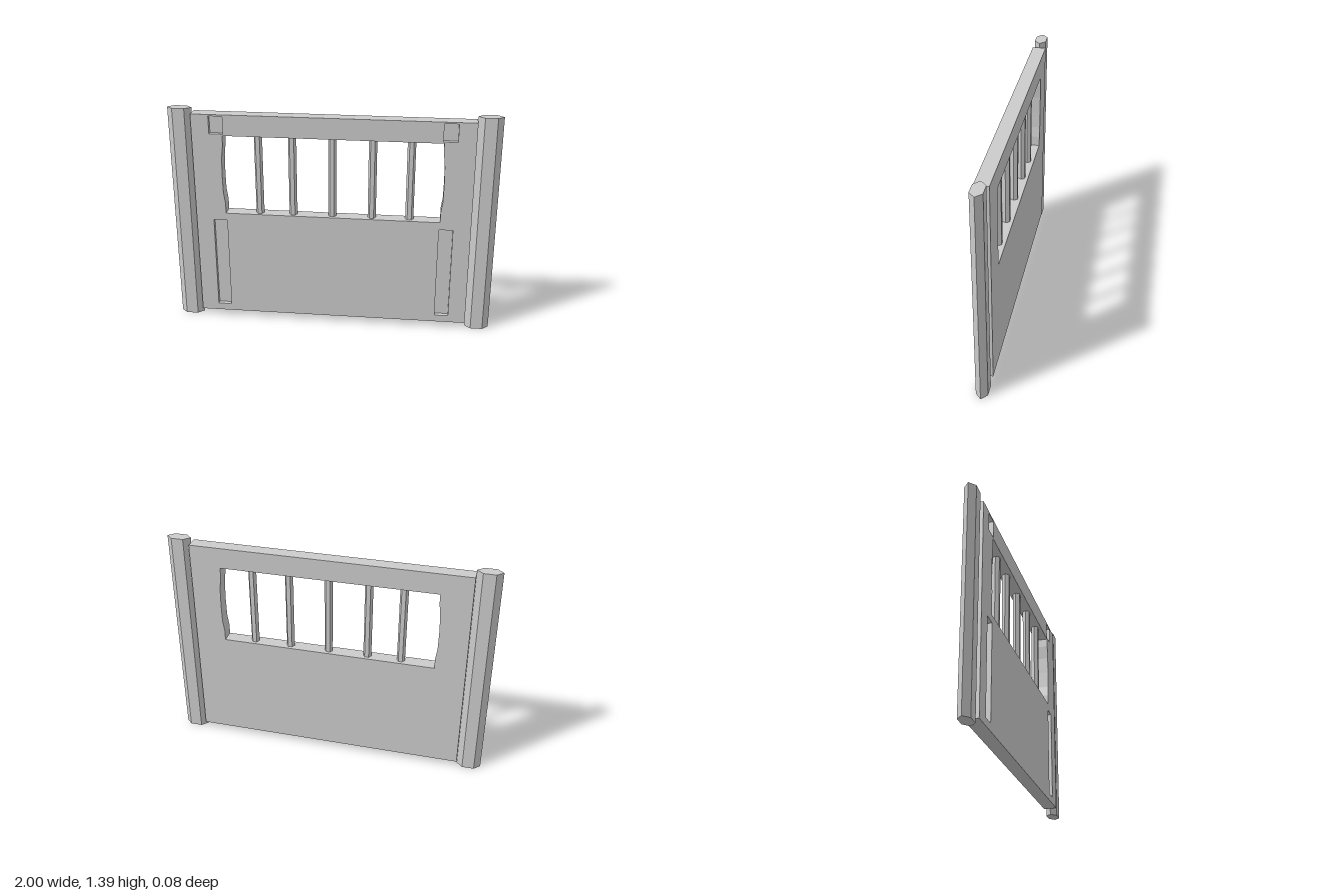
import * as THREE from 'three';

const material = new THREE.MeshStandardMaterial({ color: 0xcccccc, flatShading: true });

const rect = (x0, x1, y0, y1) =>
  [[x0, y0], [x1, y0], [x1, y1], [x0, y1]].map(([x, y]) => new THREE.Vector2(x, y));

function addMesh(parent, name, geometry) {
  const mesh = new THREE.Mesh(geometry, material);
  mesh.name = name;
  parent.add(mesh);
  return mesh;
}

// Window opening with slightly hollowed sides
function windowOutline() {
  const side = [[0.662, 0.725], [0.662, 0.79], [0.672, 0.86], [0.674, 0.97], [0.672, 1.08], [0.662, 1.17], [0.662, 1.227]];
  const mirrored = side.map(([x, y]) => [-x, y]).reverse();
  return [...side, ...mirrored].map(([x, y]) => new THREE.Vector2(x, y));
}

// One layer of the panel, pierced by the given holes
function panelLayer(holes, z0, z1) {
  const shape = new THREE.Shape(rect(-0.85, 0.85, 0.04, 1.357));
  shape.holes = holes.map((points) => new THREE.Path(points));
  return new THREE.ExtrudeGeometry(shape, { depth: z1 - z0, bevelEnabled: false }).translate(0, 0, z0);
}

export function createModel() {
  const model = new THREE.Group();
  model.name = 'barredPanel';

  // Panel: solid back layer, front layer with four recesses
  const half = 0.042, recessFloor = 0.014;
  const panel = new THREE.Group();
  panel.name = 'panel';
  model.add(panel);
  const recesses = [];
  for (const [x0, x1] of [[-0.742, -0.657], [0.657, 0.742]]) {
    recesses.push(rect(x0, x1, 0.085, 0.677), rect(x0, x1, 1.237, 1.347));
  }
  addMesh(panel, 'panelBack', panelLayer([windowOutline()], -half, recessFloor));
  addMesh(panel, 'panelFront', panelLayer([windowOutline(), ...recesses], recessFloor, half));

  // Six-sided window bars
  for (const x of [-0.452, -0.244, 0, 0.244, 0.474]) {
    const bar = new THREE.CylinderGeometry(0.025, 0.025, 0.51, 6).rotateY(Math.PI / 6);
    addMesh(model, 'windowBar', bar).position.set(x, 0.976, 0);
  }

  // Six-sided end posts
  const section = [[-0.075, 0], [-0.037, -0.036], [0.037, -0.036], [0.075, 0], [0.037, 0.036], [-0.037, 0.036]];
  const postShape = new THREE.Shape(section.map(([x, y]) => new THREE.Vector2(x, y)));
  for (const [name, side] of [['leftPost', 1], ['rightPost', -1]]) {
    const post = new THREE.ExtrudeGeometry(postShape, { depth: 1.386, bevelEnabled: false }).rotateX(-Math.PI / 2);
    addMesh(model, name, post).position.x = side * 0.925;
  }
  return model;
}
